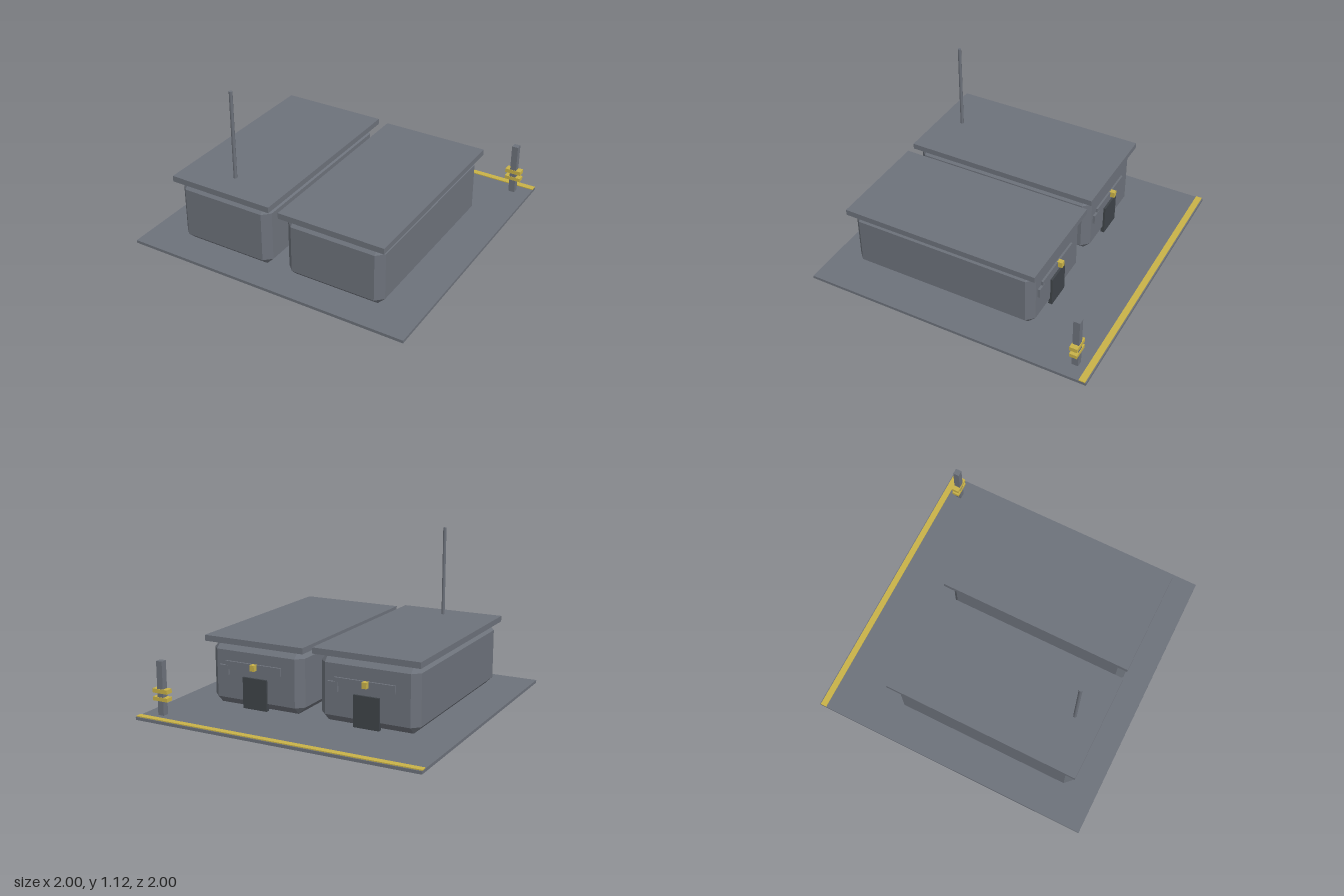
import * as THREE from 'three';
import { ConvexGeometry } from 'three/addons/geometries/ConvexGeometry.js';

const paint = (name, color) => {
  const m = new THREE.MeshStandardMaterial({ color });
  m.name = name;
  return m;
};

export function createModel() {
  const grey = paint('slate grey', 0x6d727b);
  const dark = paint('dark grey', 0x3f4449);
  const yellow = paint('warning yellow', 0xc9b248);
  const model = new THREE.Group();
  model.name = 'twinShelters';

  // Box given by its limits on each axis
  const box = (parent, name, material, [x0, x1], [y0, y1], [z0, z1]) => {
    const mesh = new THREE.Mesh(new THREE.BoxGeometry(x1 - x0, y1 - y0, z1 - z0), material);
    mesh.position.set((x0 + x1) / 2, (y0 + y1) / 2, (z0 + z1) / 2);
    mesh.name = name;
    parent.add(mesh);
    return mesh;
  };

  // Box with every edge and corner cut off by c
  const chamferBox = (w, h, d, c) => {
    const points = [];
    for (const sx of [-1, 1]) for (const sy of [-1, 1]) for (const sz of [-1, 1]) {
      const x = w / 2, y = h / 2, z = d / 2;
      points.push(
        new THREE.Vector3(sx * x, sy * (y - c), sz * (z - c)),
        new THREE.Vector3(sx * (x - c), sy * y, sz * (z - c)),
        new THREE.Vector3(sx * (x - c), sy * (y - c), sz * z)
      );
    }
    return new ConvexGeometry(points);
  };

  // Ground slab with a painted strip along the back
  box(model, 'groundSlab', grey, [-1, 1], [0, 0.02], [-1, 1]);
  box(model, 'edgeStrip', yellow, [-1, 1], [0.019, 0.026], [-0.993, -0.95]);

  // Two chamfered buildings, each with a flat roof and a back entrance
  const addBuilding = (name, x, top) => {
    const g = new THREE.Group();
    g.name = name;
    g.position.x = x;
    const body = new THREE.Mesh(chamferBox(0.69, top - 0.02, 1.325, 0.05), grey);
    body.name = 'body';
    body.position.set(0, (top + 0.02) / 2, 0.155);
    g.add(body);
    box(g, 'roof', grey, [-0.371, 0.371], [top, top + 0.04], [-0.535, 0.84]);
    box(g, 'door', dark, [-0.09, 0.09], [0.02, 0.23], [-0.522, -0.495]);
    box(g, 'doorRail', grey, [-0.195, 0.225], [0.27, 0.325], [-0.521, -0.5]);
    box(g, 'controlBox', grey, [0.2, 0.27], [0.23, 0.295], [-0.523, -0.5]);
    box(g, 'doorLamp', yellow, [-0.017, 0.017], [0.287, 0.327], [-0.551, -0.515]);
    model.add(g);
  };
  addBuilding('rightBuilding', -0.407, 0.46);
  addBuilding('leftBuilding', 0.405, 0.445);

  // Mast above the right building
  const mast = new THREE.Mesh(new THREE.CylinderGeometry(0.012, 0.012, 0.612, 8), grey);
  mast.name = 'mast';
  mast.position.set(-0.41, 0.816, 0.663);
  model.add(mast);

  // Marker post with two yellow cross bars
  const post = new THREE.Group();
  post.name = 'markerPost';
  post.position.set(0.876, 0, -0.877);
  box(post, 'post', grey, [-0.022, 0.022], [0.02, 0.38], [-0.022, 0.022]);
  for (const [y0, y1] of [[0.115, 0.14], [0.167, 0.195]]) {
    box(post, 'crossBar', yellow, [-0.056, 0.056], [y0, y1], [-0.026, 0.026]);
  }
  model.add(post);

  return model;
}
